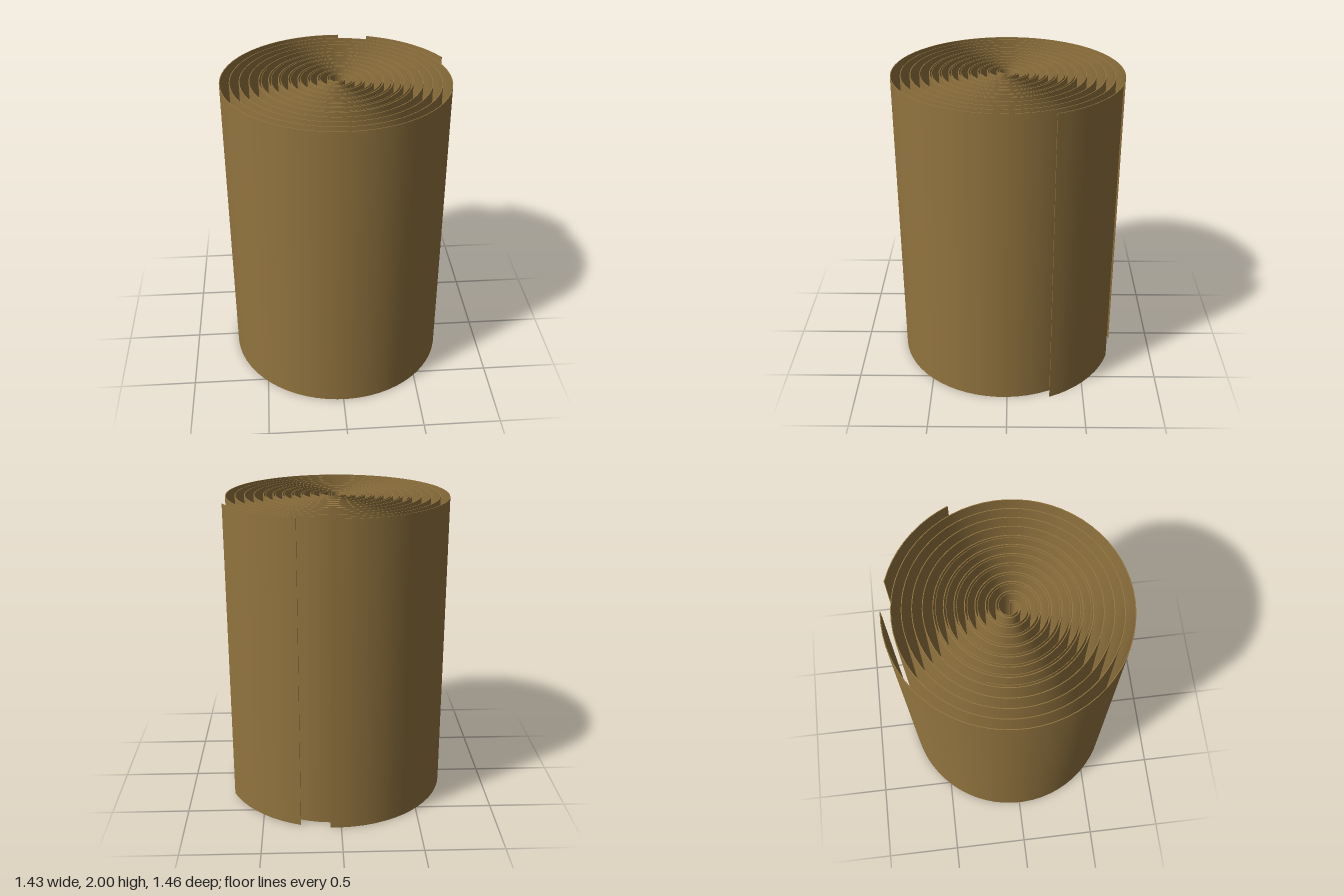
import * as THREE from 'three';

const HEIGHT = 2;
const CENTRE = 0.015;   // spiral axis in x and z
const START = 0.037;    // radius where the roll begins
const PITCH = 0.06;     // radius gained per turn
const SEGMENTS = 64;    // per turn

// Bends a long thin box along the spiral, between two turn counts.
function rolledSheet(from, to, offset, thickness) {
  const n = Math.max(4, Math.ceil((to - from) * SEGMENTS));
  const geometry = new THREE.BoxGeometry(1, 1, 1, n, 1, 1);
  const p = geometry.attributes.position;
  for (let i = 0; i < p.count; i++) {
    const turn = from + (p.getX(i) + 0.5) * (to - from);
    const angle = turn * Math.PI * 2;
    const r = START + PITCH * turn + offset - p.getZ(i) * thickness;
    p.setXYZ(
      i,
      CENTRE + r * Math.cos(angle),
      (p.getY(i) + 0.5) * HEIGHT,
      CENTRE + r * Math.sin(angle)
    );
  }
  geometry.computeVertexNormals();
  return geometry;
}

export function createModel() {
  const group = new THREE.Group();
  group.name = 'roll';
  const brown = new THREE.MeshStandardMaterial({ color: 0x92743f });
  brown.name = 'brown sheet';

  // name, first turn, last turn, radial offset, thickness
  const sheets = [
    ['mainSheet', 0, 11.762, 0, 0.005],
    ['innerSheet', 0, 7.565, -0.015, 0.003],
    ['outerFlap', 11.803, 11.936, 0, 0.005],
  ];
  for (const [name, from, to, offset, thickness] of sheets) {
    const mesh = new THREE.Mesh(rolledSheet(from, to, offset, thickness), brown);
    mesh.name = name;
    group.add(mesh);
  }
  return group;
}
